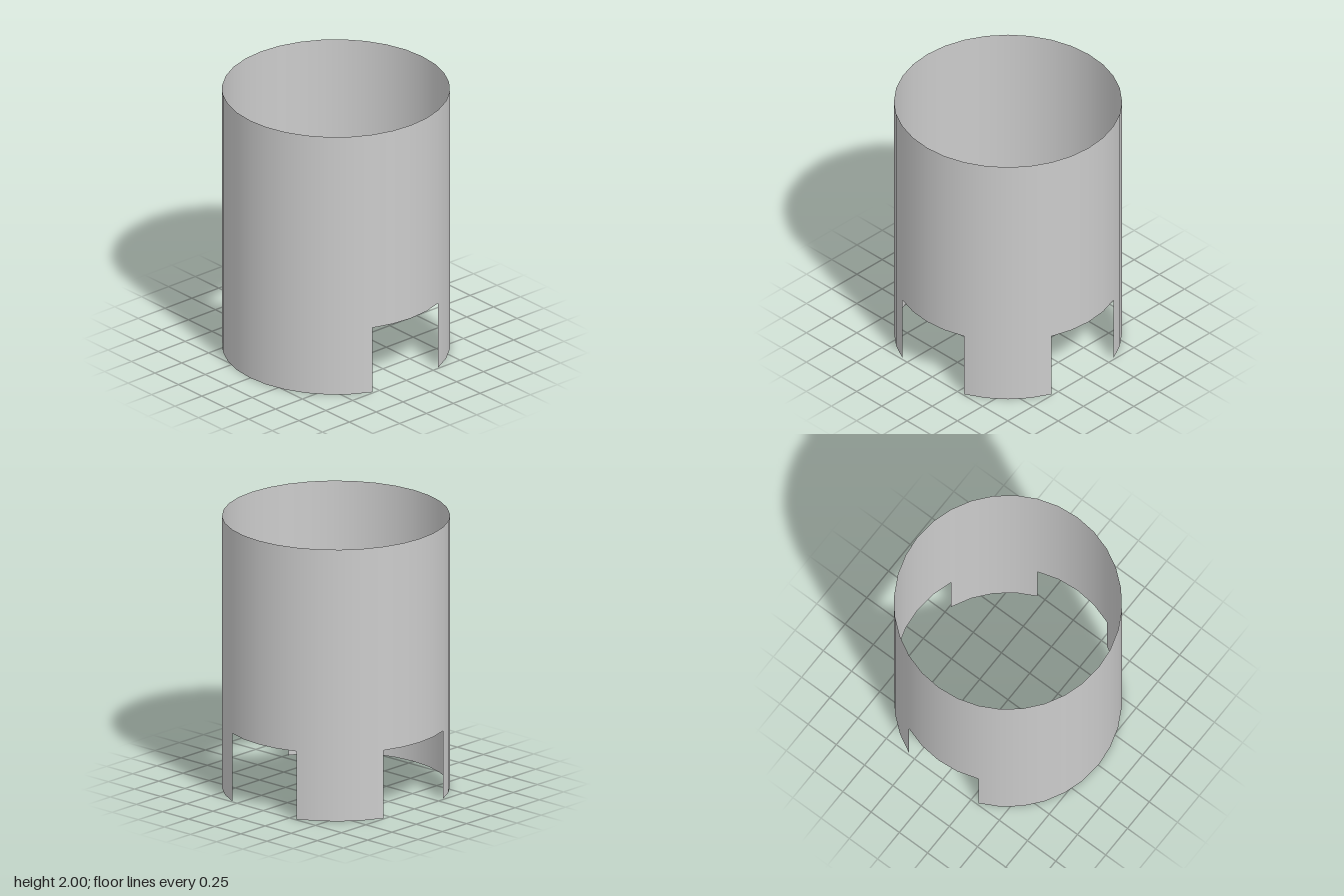
import * as THREE from 'three';

const RADIUS = 0.8;
const STEP = Math.PI / 16; // 32 sides in a full turn
const LEG_TOP = 0.5;
const TOP = 2;

export function createModel() {
  const model = new THREE.Group();
  model.name = 'slottedSleeve';
  const material = new THREE.MeshStandardMaterial({ color: 0xcccccc, side: THREE.DoubleSide });

  // Thin curved wall; start and count are in sides, measured from the front (+z) towards +x
  function wall(name, y0, y1, start, count) {
    const geometry = new THREE.CylinderGeometry(
      RADIUS, RADIUS, y1 - y0, count, 1, true, start * STEP, count * STEP);
    geometry.translate(0, (y0 + y1) / 2, 0);
    const mesh = new THREE.Mesh(geometry, material);
    mesh.name = name;
    model.add(mesh);
  }

  // Full open tube above the slots
  wall('tubeBody', LEG_TOP, TOP, 0, 32);

  // Wide front skirt and two narrow rear legs, leaving slots at left, right and back
  wall('frontSkirt', 0, LEG_TOP, -6, 12);
  wall('backLeftLeg', 0, LEG_TOP, 10, 4);
  wall('backRightLeg', 0, LEG_TOP, 18, 4);

  return model;
}
